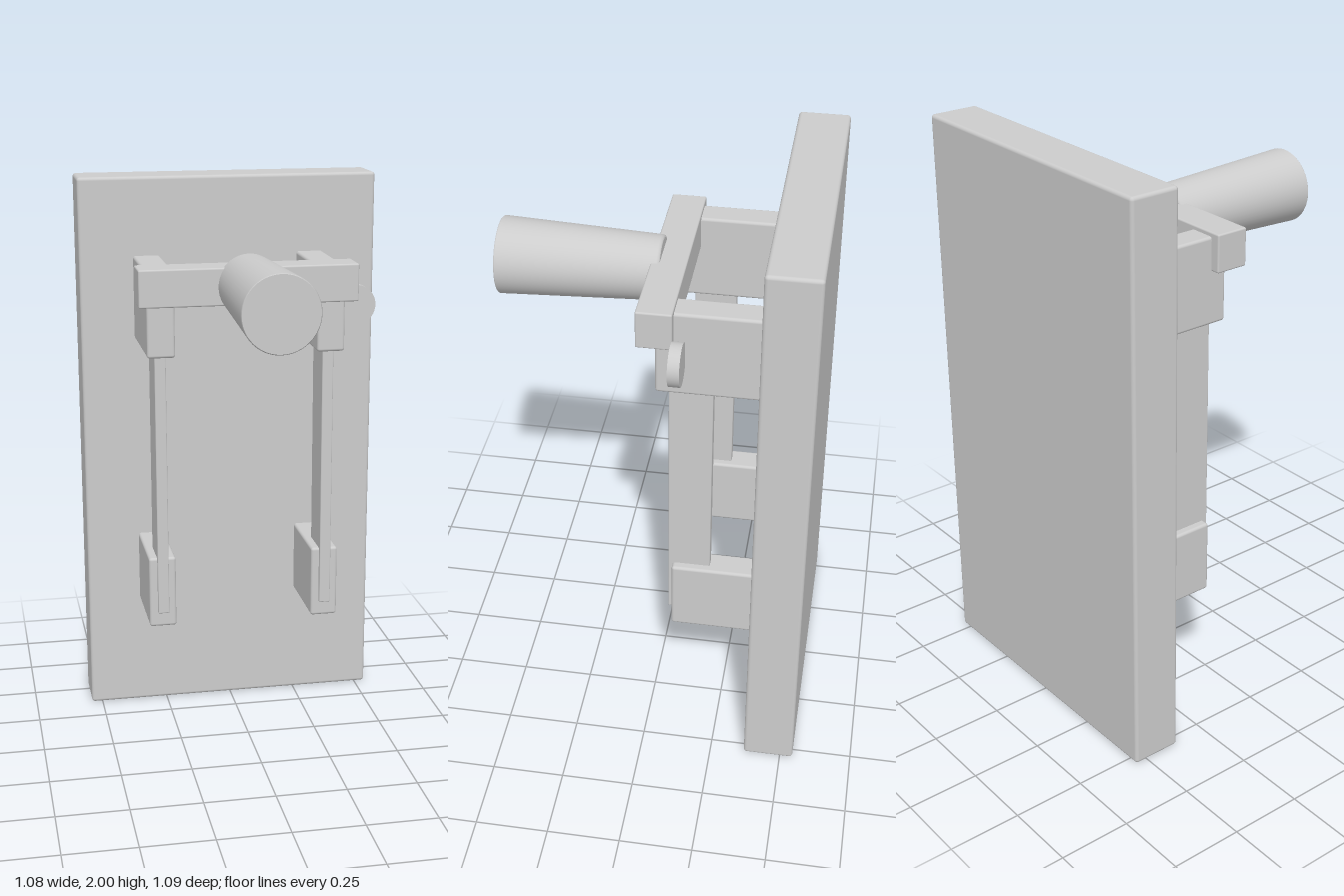
import * as THREE from 'three';
import { RoundedBoxGeometry } from 'three/addons/geometries/RoundedBoxGeometry.js';

export function createModel() {
  const model = new THREE.Group();
  model.name = 'knifeSwitch';
  const grey = new THREE.MeshStandardMaterial({ color: 0xcccccc });
  grey.name = 'plain grey';

  const add = (name, geometry, x, y, z) => {
    const mesh = new THREE.Mesh(geometry, grey);
    mesh.name = name;
    mesh.position.set(x, y, z);
    model.add(mesh);
    return mesh;
  };
  // Softly rounded block given by its limits on each axis
  const block = (name, [x0, x1], [y0, y1], [z0, z1], radius) =>
    add(name, new RoundedBoxGeometry(x1 - x0, y1 - y0, z1 - z0, 3, radius),
      (x0 + x1) / 2, (y0 + y1) / 2, (z0 + z1) / 2);

  // Mounting board
  block('baseBoard', [-0.54, 0.54], [0, 2], [-0.545, -0.37], 0.012);

  // Contact posts, hinge posts and blades on both sides
  for (const [side, s] of [['left', 1], ['right', -1]]) {
    const span = (a, b) => (s > 0 ? [a, b] : [-b, -a]);
    block(side + 'UpperPost', span(0.25, 0.347), [1.42, 1.72], [-0.38, -0.02], 0.01);
    block(side + 'LowerPost', span(0.25, 0.347), [0.415, 0.677], [-0.38, -0.075], 0.01);
    block(side + 'Blade', span(0.278, 0.318), [0.47, 1.66], [-0.205, -0.06], 0.004);
  }

  // Bar joining the blades
  block('crossbar', [-0.38, 0.38], [1.605, 1.735], [-0.08, 0.037], 0.006);

  // Tapered handle with slightly eased ends
  const profile = [[0, 0.008], [0.1, 0.008], [0.106, 0.011], [0.108, 0.018],
    [0.129, 0.543], [0.126, 0.547], [0, 0.547]].map(([r, h]) => new THREE.Vector2(r, h));
  // Separate lathe sections keep the end caps flat
  const handle = new THREE.Group();
  handle.name = 'handle';
  for (const [name, part] of [['handleBack', profile.slice(0, 2)],
    ['handleGrip', profile.slice(1, 6)], ['handleFront', profile.slice(5)]]) {
    const mesh = new THREE.Mesh(new THREE.LatheGeometry(part, 48), grey);
    mesh.name = name;
    handle.add(mesh);
  }
  handle.rotation.x = Math.PI / 2;
  handle.position.set(0, 1.67, 0);
  model.add(handle);

  // Small round tab beside the left upper post
  add('sideTab', new THREE.CylinderGeometry(0.071, 0.071, 0.038, 40), 0.4, 1.57, -0.097)
    .rotation.x = Math.PI / 2;

  return model;
}
